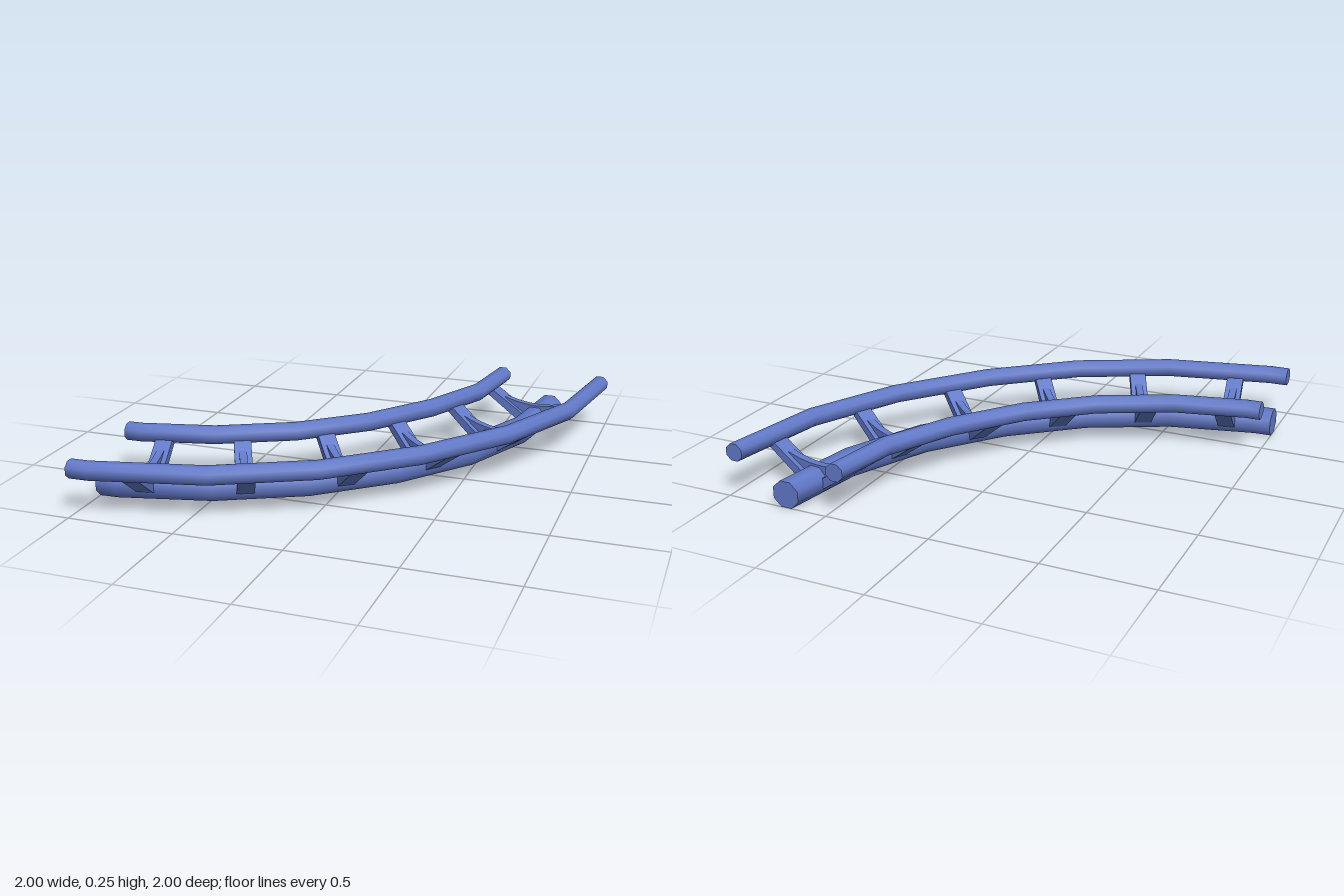
import * as THREE from 'three';

const blue = new THREE.MeshStandardMaterial({ color: 0x6279c8 });
blue.name = 'track blue';
const SIDES = 8;

// Sweeps an octagon along a level polyline of [x, z] points with mitred joints;
// the ends are cut square to the x and z axes.
function makePipe(name, path, y, apothem) {
  const radius = apothem / Math.cos(Math.PI / SIDES);
  const last = path.length - 1;
  const sideNormal = (i) => {
    const dx = path[i + 1][0] - path[i][0], dz = path[i + 1][1] - path[i][1];
    return new THREE.Vector2(-dz, dx).normalize();
  };
  const pos = [], index = [];
  const ring = (i) => {
    const n = sideNormal(Math.min(i, last - 1));
    let m;
    if (i === 0) m = new THREE.Vector2(0, 1);
    else if (i === last) m = new THREE.Vector2(1, 0);
    else m = n.clone().add(sideNormal(i - 1)).normalize();
    m.divideScalar(m.dot(n));
    for (let j = 0; j < SIDES; j++) {
      const a = ((j + 0.5) / SIDES) * Math.PI * 2;
      const r = radius * Math.cos(a);
      pos.push(path[i][0] + m.x * r, y + radius * Math.sin(a), path[i][1] + m.y * r);
    }
  };
  for (let i = 0; i <= last; i++) ring(i);
  for (let i = 0; i < last; i++) {
    for (let j = 0; j < SIDES; j++) {
      const k = (j + 1) % SIDES;
      const a = i * SIDES + j, b = a + SIDES, c = i * SIDES + k, d = c + SIDES;
      index.push(a, b, c, b, d, c);
    }
  }
  // End caps with their own vertices, so the rim stays sharp
  for (const end of [0, last]) {
    const base = pos.length / 3;
    ring(end);
    for (let j = 1; j < SIDES - 1; j++) {
      if (end === 0) index.push(base, base + j, base + j + 1);
      else index.push(base, base + j + 1, base + j);
    }
  }
  const geo = new THREE.BufferGeometry();
  geo.setAttribute('position', new THREE.Float32BufferAttribute(pos, 3));
  geo.setIndex(index);
  geo.computeVertexNormals();
  const mesh = new THREE.Mesh(geo, blue);
  mesh.name = name;
  return mesh;
}

// Extrudes a profile centred on its own plane
function makePlate(name, shape, depth) {
  const geo = new THREE.ExtrudeGeometry(shape, { depth, bevelEnabled: false, curveSegments: 8 });
  geo.translate(0, 0, -depth / 2);
  const mesh = new THREE.Mesh(geo, blue);
  mesh.name = name;
  return mesh;
}

function makeTie() {
  const tie = new THREE.Group();
  tie.name = 'crossTie';

  // V-shaped arms from the spine up to both rails
  const arms = new THREE.Shape([
    [-0.25, 0.17], [-0.06, 0.04], [0.06, 0.04], [0.25, 0.17],
    [0.25, 0.212], [0.06, 0.092], [-0.06, 0.092], [-0.25, 0.212],
  ].map(([x, y]) => new THREE.Vector2(x, y)));
  tie.add(makePlate('tieArms', arms, 0.08));

  // Narrow web with a dished top, filling the V
  const web = new THREE.Shape();
  web.moveTo(-0.165, 0.161);
  web.lineTo(-0.05, 0.07);
  web.lineTo(0.05, 0.07);
  web.lineTo(0.165, 0.161);
  web.quadraticCurveTo(0, 0.11, -0.165, 0.161);
  tie.add(makePlate('tieWeb', web, 0.035));
  return tie;
}

export function createModel() {
  const model = new THREE.Group();
  model.name = 'curvedTrack';

  // Two rails and the thicker spine below them
  model.add(makePipe('outerRail', [
    [-1, 0.955], [-0.91, 0.952], [-0.41, 0.838], [0.015, 0.622],
    [0.375, 0.31], [0.68, -0.08], [0.88, -0.51], [0.957, -1],
  ], 0.215, 0.04));
  model.add(makePipe('innerRail', [
    [-1, 0.442], [-0.93, 0.44], [-0.595, 0.363], [-0.26, 0.195],
    [0.016, -0.04], [0.24, -0.34], [0.393, -0.66], [0.444, -1],
  ], 0.215, 0.04));
  model.add(makePipe('spine', [
    [-1, 0.7], [-0.913, 0.696], [-0.5, 0.598], [-0.12, 0.406],
    [0.206, 0.131], [0.467, -0.206], [0.636, -0.59], [0.7, -1],
  ], 0.063, 0.062));

  // Ties: centre x, centre z and heading in degrees from +x towards +z
  const ties = [
    [-0.783, 0.66, 81], [-0.374, 0.531, 63.8], [0.002, 0.3, 51.4],
    [0.301, -0.01, 38.6], [0.543, -0.374, 24.4], [0.665, -0.793, 9],
  ];
  for (const [x, z, heading] of ties) {
    const tie = makeTie();
    tie.position.set(x, 0, z);
    tie.rotation.y = -THREE.MathUtils.degToRad(heading);
    model.add(tie);
  }
  return model;
}
